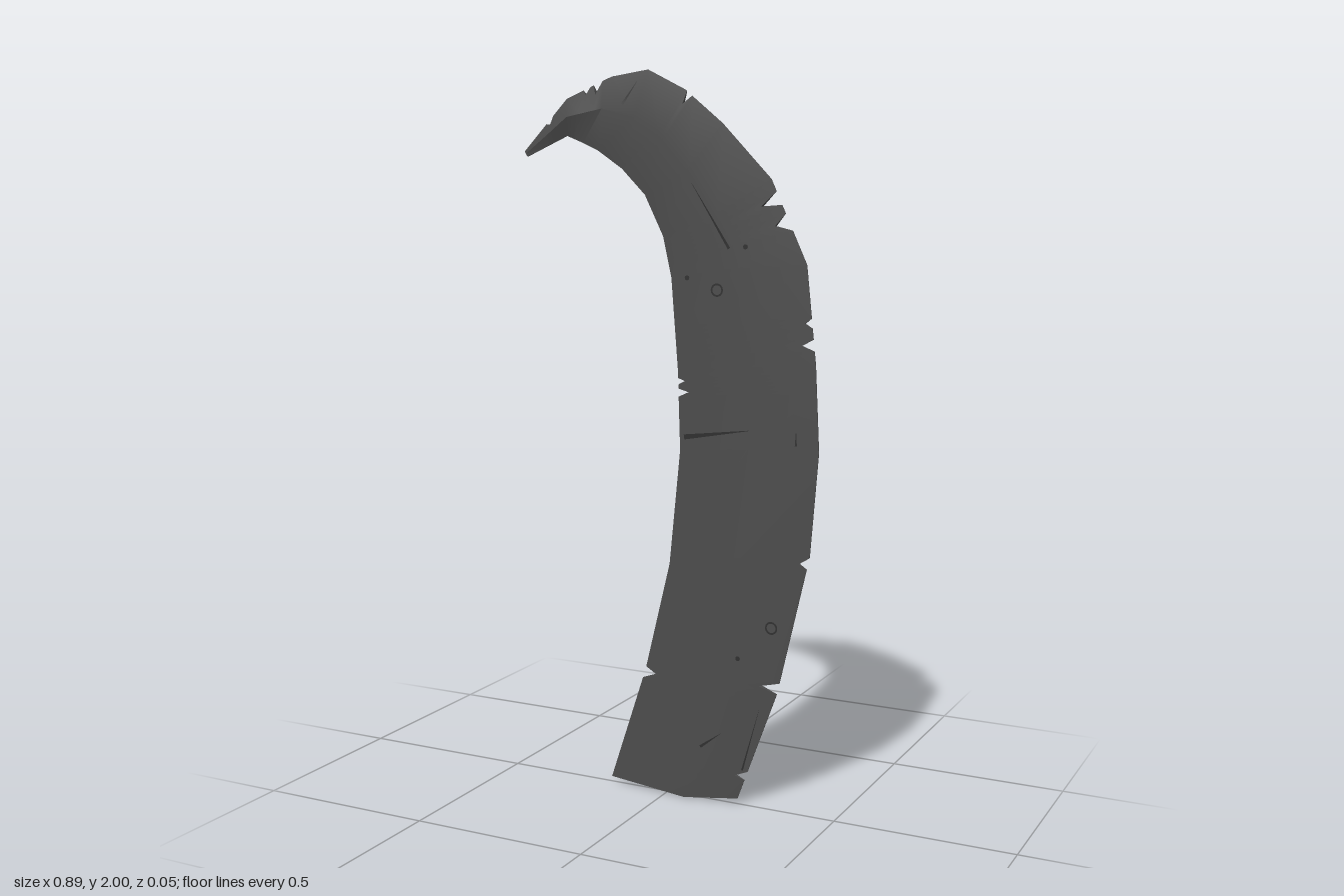
import * as THREE from 'three';
import { toCreasedNormals } from 'three/addons/utils/BufferGeometryUtils.js';

// Stations from foot to tip: inner edge, ridge, outer edge (x, y each)
const STATIONS = [
  [-.18, .015, .06, 0, .215, .015],
  [-.07, .35, .15, .34, .33, .33],
  [.005, .66, .21, .7, .42, .72],
  [.037, .98, .25, 1, .442, 1],
  [.03, 1.2, .24, 1.22, .43, 1.23],
  [.01, 1.45, .21, 1.48, .402, 1.49],
  [-.015, 1.56, .15, 1.62, .3, 1.71],
  [-.07, 1.67, .07, 1.74, .16, 1.855],
  [-.14, 1.74, -.02, 1.84, .05, 1.945],
  [-.215, 1.79, -.09, 1.88, -.06, 2],
  [-.26, 1.81, -.19, 1.9, -.17, 1.985],
  [-.31, 1.83, -.3, 1.88, -.31, 1.93],
  [-.438, 1.775, -.443, 1.783, -.447, 1.79],
];
// Chips in the edges: station position, depth as a share of the bevel, half width
const OUTER_CHIPS = [
  [.22, .2, .04], [1.04, .3, .04], [1.95, .12, .04], [4.2, .18, .06], [4.42, .1, .05],
  [5.5, .22, .1], [5.78, .3, .08], [7.88, .25, .07], [10.3, .4, .1], [10.55, .25, .08], [11.4, .4, .08],
];
const INNER_CHIPS = [[.97, .17, .05], [3.72, .15, .05], [3.86, .1, .04]];
const HALF = .022, EDGE = .0012;

const chipDepth = (chips, t) =>
  Math.max(0, ...chips.map(([c, d, w]) => d * Math.max(0, 1 - Math.abs(t - c) / w)));

// Six-point cross-section: double bevel with sharp inner and outer edges
function section(t) {
  const i = Math.min(Math.floor(t), STATIONS.length - 2);
  const p = STATIONS[i].map((v, k) => THREE.MathUtils.lerp(v, STATIONS[i + 1][k], t - i));
  const half = HALF * Math.min(1, Math.max(.12, STATIONS.length - 1 - t));
  const edge = (k, depth) => [
    THREE.MathUtils.lerp(p[k], p[2], depth),
    THREE.MathUtils.lerp(p[k + 1], p[3], depth),
    THREE.MathUtils.lerp(EDGE, half, depth),
  ];
  const front = [edge(0, chipDepth(INNER_CHIPS, t)), [p[2], p[3], half], edge(4, chipDepth(OUTER_CHIPS, t))];
  return [...front, ...front.map(([x, y, z]) => [x, y, -z]).reverse()];
}

function bladeGeometry() {
  const ts = new Set(STATIONS.map((_, i) => i));
  for (const [c, , w] of [...OUTER_CHIPS, ...INNER_CHIPS]) [c - w, c, c + w].forEach(t => ts.add(t));
  const rings = [...ts].sort((a, b) => a - b).map(section);
  const index = [];
  for (let k = 0; k < rings.length - 1; k++) {
    for (let j = 0; j < 6; j++) {
      const a = k * 6 + j, b = k * 6 + (j + 1) % 6;
      index.push(a, b, b + 6, a, b + 6, a + 6);
    }
  }
  // End caps
  const top = (rings.length - 1) * 6;
  for (let j = 1; j < 5; j++) index.push(0, j + 1, j, top, top + j, top + j + 1);
  const g = new THREE.BufferGeometry();
  g.setAttribute('position', new THREE.Float32BufferAttribute(rings.flat(2), 3));
  g.setIndex(index);
  return toCreasedNormals(g, Math.PI / 7);
}

export function createModel() {
  const group = new THREE.Group();
  const steel = new THREE.MeshStandardMaterial({ color: 0x4c4c4c });
  steel.name = 'dark steel';
  const groove = new THREE.MeshStandardMaterial({ color: 0x303030, side: THREE.DoubleSide });
  groove.name = 'groove shadow';

  const blade = new THREE.Mesh(bladeGeometry(), steel);
  blade.name = 'blade';
  group.add(blade);

  // Height of the front face under a point
  const ray = new THREE.Raycaster();
  const surface = (x, y) => {
    ray.set(new THREE.Vector3(x, y, 1), new THREE.Vector3(0, 0, -1));
    const hit = ray.intersectObject(blade)[0];
    return hit ? hit.point.z : 0;
  };
  const addBothSides = (name, geometry, x = 0, y = 0, z = 0) => {
    for (const side of [1, -1]) {
      const m = new THREE.Mesh(geometry, groove);
      m.name = name + (side > 0 ? 'Front' : 'Back');
      m.position.set(x, y, z * side);
      m.scale.z = side;
      if (geometry.type !== 'BufferGeometry' && side < 0) m.rotation.y = Math.PI;
      group.add(m);
    }
  };

  // Tapering cuts that follow the face: x0, y0, x1, y1, width
  const cuts = [
    [.05, 1.018, .25, 1.05, .014], [.19, 1.53, .08, 1.7, .008], [.11, .155, .17, .2, .008],
    [.38, 1.015, .38, 1.055, .006], [-.13, 1.91, -.09, 1.97, .008], [.23, .1, .28, .28, .005],
  ];
  cuts.forEach(([x0, y0, x1, y1, w], n) => {
    const len = Math.hypot(x1 - x0, y1 - y0), nx = -(y1 - y0) / len, ny = (x1 - x0) / len;
    const pos = [], idx = [], steps = 8;
    for (let i = 0; i <= steps; i++) {
      const s = i / steps, h = w / 2 * (1 - .9 * s);
      for (const e of [-h, h]) {
        const x = x0 + (x1 - x0) * s + nx * e, y = y0 + (y1 - y0) * s + ny * e;
        pos.push(x, y, surface(x, y) + .001);
      }
      if (i < steps) idx.push(2 * i, 2 * i + 2, 2 * i + 1, 2 * i + 1, 2 * i + 2, 2 * i + 3);
    }
    const g = new THREE.BufferGeometry();
    g.setAttribute('position', new THREE.Float32BufferAttribute(pos, 3));
    g.setIndex(idx);
    g.computeVertexNormals();
    addBothSides('cut' + (n + 1), g);
  });

  // Round dents and small pits
  const ring = new THREE.RingGeometry(.013, .018, 16);
  for (const [x, y] of [[.153, 1.42], [.315, .515]]) addBothSides('dent', ring, x, y, surface(x, y) + .002);
  const pit = new THREE.CircleGeometry(.007, 8);
  for (const [x, y] of [[.06, 1.45], [.235, 1.535], [.22, .42]]) addBothSides('pit', pit, x, y, surface(x, y) + .001);

  return group;
}
